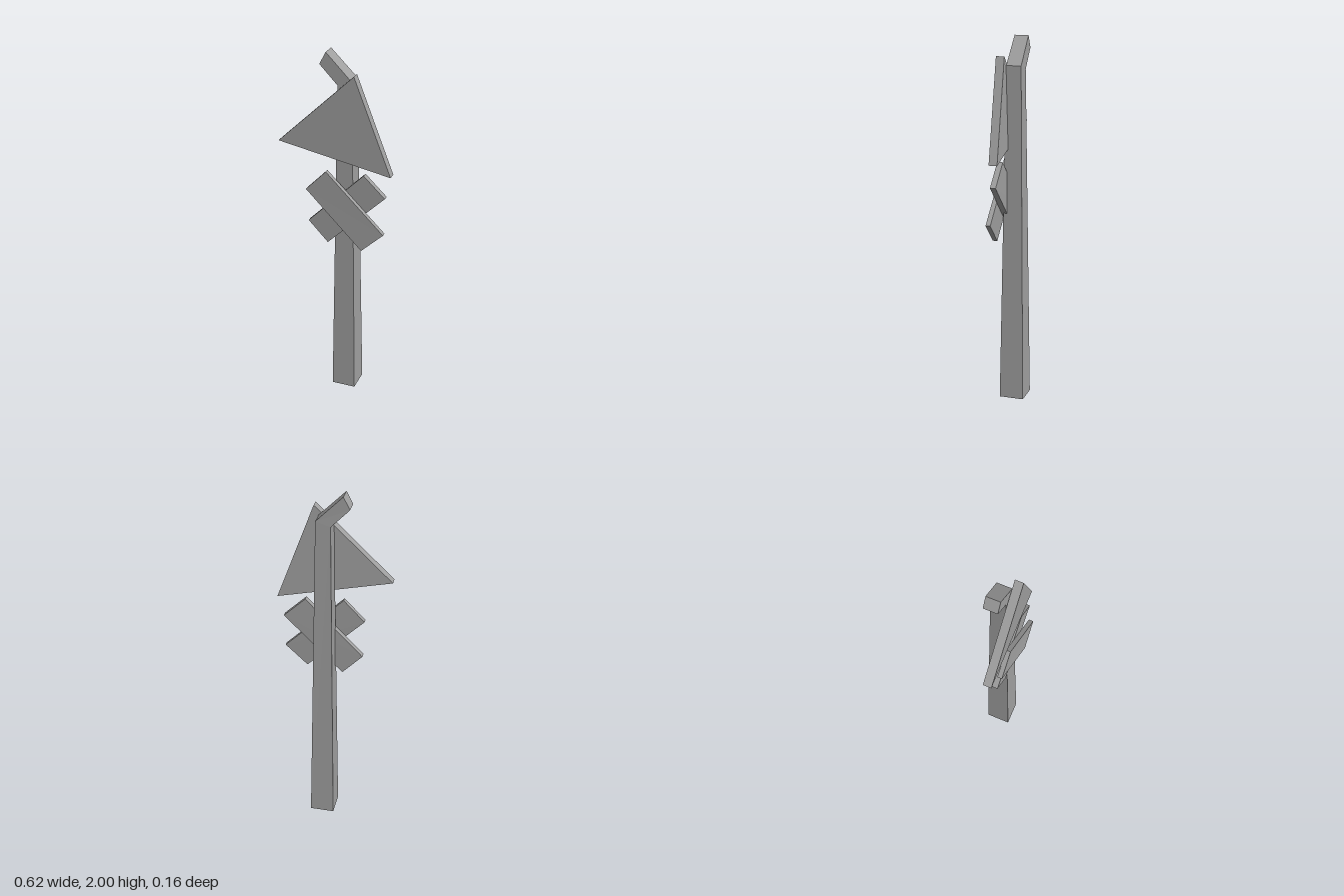
import * as THREE from 'three';

// Faceted solid through rings of [x, y, z] corners, counter-clockwise seen from the last ring
function loft(rings) {
  const n = rings[0].length, pos = [];
  const tri = (a, b, c) => pos.push(...a, ...b, ...c);
  for (let i = 0; i < rings.length - 1; i++) {
    for (let j = 0; j < n; j++) {
      const k = (j + 1) % n;
      tri(rings[i][j], rings[i][k], rings[i + 1][k]);
      tri(rings[i][j], rings[i + 1][k], rings[i + 1][j]);
    }
  }
  const first = rings[0], last = rings[rings.length - 1];
  for (let j = 1; j < n - 1; j++) {
    tri(first[0], first[j + 1], first[j]);
    tri(last[0], last[j], last[j + 1]);
  }
  const geo = new THREE.BufferGeometry();
  geo.setAttribute('position', new THREE.Float32BufferAttribute(pos, 3));
  geo.computeVertexNormals();
  return geo;
}

// Flat board: each corner is [x, y, front z]
function board(corners, thickness) {
  return loft([corners.map(([x, y, z]) => [x, y, z - thickness]), corners]);
}

// Post section from its left and right edge points and its depth range
function section([xl, yl], [xr, yr], back, front) {
  return [[xl, yl, front], [xr, yr, front], [xr, yr, back], [xl, yl, back]];
}

export function createModel() {
  const group = new THREE.Group();
  const grey = new THREE.MeshStandardMaterial({ color: 0xa0a0a0 });
  grey.name = 'grey';
  const add = (name, geo) => {
    const mesh = new THREE.Mesh(geo, grey);
    mesh.name = name;
    group.add(mesh);
  };

  // Tapering post with a bent tip
  add('post', loft([
    section([-0.015, 0], [0.119, 0], -0.08, 0.055),
    section([0.003, 1.83], [0.083, 1.855], -0.057, 0.025),
    section([-0.096, 1.932], [-0.061, 2], -0.052, 0.025),
  ]));

  // Tilted triangular sign
  add('triangleSign', board([[-0.31, 1.498, 0.079], [0.308, 1.366, 0.047], [0.11, 1.905, 0.072]], 0.046));

  // Crossed planks
  add('frontPlank', board([[-0.16, 1.235, 0.073], [0.16, 0.92, 0.078], [0.282, 1.035, 0.075], [-0.045, 1.355, 0.073]], 0.026));
  add('backPlank', board([[-0.157, 1.035, 0.046], [-0.045, 0.92, 0.047], [0.28, 1.24, 0.05], [0.16, 1.355, 0.05]], 0.031));

  return group;
}
